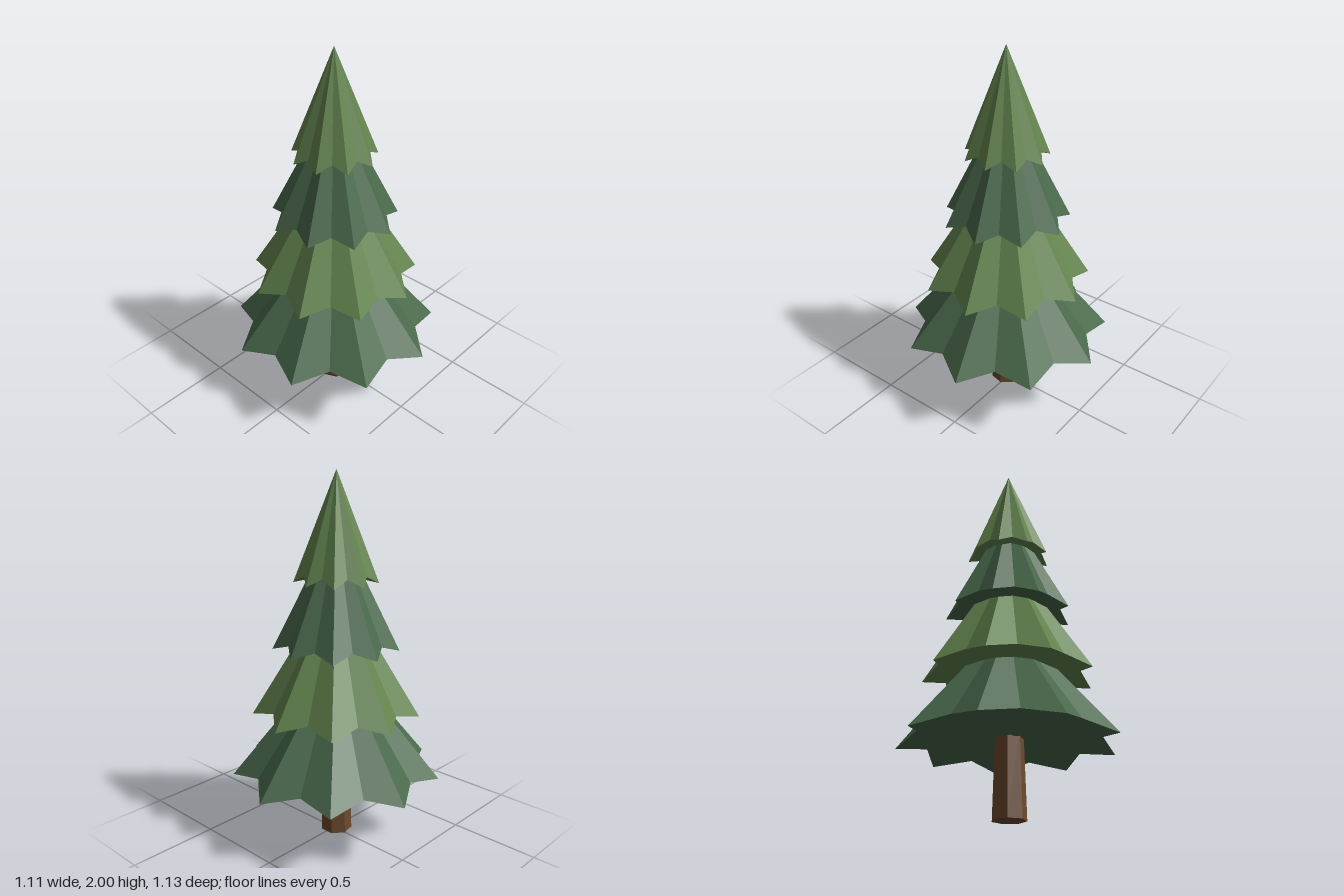
import * as THREE from 'three';

const POINTS = 9;      // star tips per tier
const VALLEY = 0.817;  // valley radius relative to tip radius
const LIFT = 0.04;     // valleys and underside centre sit above the tips
const AXIS_X = -0.02;

const flat = (color) => new THREE.MeshStandardMaterial({ color, flatShading: true });

// Cone whose rim is pulled in and lifted at every second vertex, first tip on +x
function tierGeometry(radius, bottom, top) {
  const geo = new THREE.ConeGeometry(radius, top - bottom, POINTS * 2, 1);
  geo.rotateY(Math.PI / 2);
  geo.translate(0, (top + bottom) / 2, 0);
  const pos = geo.attributes.position;
  for (let i = 0; i < pos.count; i++) {
    const x = pos.getX(i), y = pos.getY(i), z = pos.getZ(i);
    if (y > bottom + 0.01) continue;
    const onRim = Math.hypot(x, z) > radius / 2;
    const step = Math.round(Math.atan2(z, x) / (Math.PI / POINTS));
    if (!onRim) pos.setY(i, bottom + LIFT);
    else if (step % 2 !== 0) pos.setXYZ(i, x * VALLEY, bottom + LIFT, z * VALLEY);
  }
  geo.computeVertexNormals();
  return geo;
}

export function createModel() {
  const tree = new THREE.Group();
  tree.name = 'pineTree';

  // Seven-sided tapered trunk with a corner towards -x
  const trunkGeo = new THREE.CylinderGeometry(0.074, 0.088, 0.45, 7);
  trunkGeo.rotateY(-Math.PI / 2);
  const trunk = new THREE.Mesh(trunkGeo, flat(0x6b4a2e));
  trunk.name = 'trunk';
  trunk.position.set(AXIS_X, 0.225, 0);
  tree.add(trunk);

  // Foliage tiers, alternating dark and light: tip radius, tip height, apex height
  const dark = flat(0x4a6a4c), light = flat(0x64854f);
  const tiers = [
    [0.573, 0.365, 1.06],
    [0.455, 0.72, 1.45],
    [0.34, 1.08, 1.75],
    [0.225, 1.435, 2.0],
  ];
  tiers.forEach(([radius, bottom, top], i) => {
    const tier = new THREE.Mesh(tierGeometry(radius, bottom, top), i % 2 ? light : dark);
    tier.name = `foliageTier${i + 1}`;
    tier.position.x = AXIS_X;
    tree.add(tier);
  });

  return tree;
}
